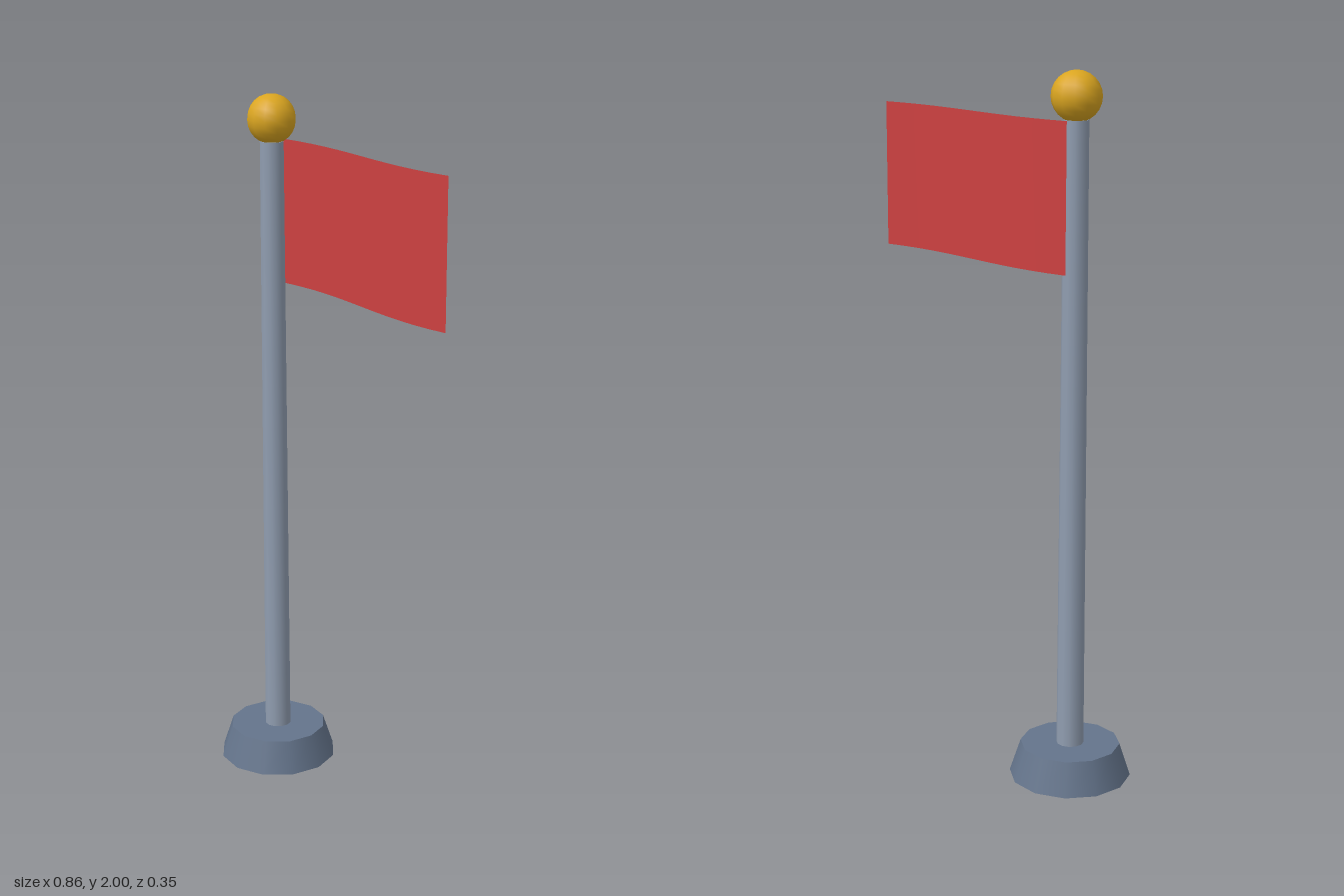
import * as THREE from 'three';

const AXIS_X = -0.257; // the mast stands left of centre
const FLAG = { right: 0.425, bottom: 1.46, top: 1.87, sway: 0.046 };

function material(name, color) {
  const m = new THREE.MeshStandardMaterial({ color });
  m.name = name;
  return m;
}

export function createModel() {
  const group = new THREE.Group();
  group.name = 'flagpole';

  const slate = material('slate base', 0x64748b);
  const steel = material('steel grey', 0x909db0);
  const gold = material('gold', 0xdaa520);
  const red = material('red cloth', 0xcc4040);
  red.side = THREE.DoubleSide;

  const add = (name, geometry, mat, x, y) => {
    const mesh = new THREE.Mesh(geometry, mat);
    mesh.name = name;
    mesh.position.set(x, y, 0);
    group.add(mesh);
  };

  // Tapered foot, slim mast and ball on top
  add('base', new THREE.CylinderGeometry(0.142, 0.173, 0.095, 12), slate, AXIS_X, 0.0475);
  add('pole', new THREE.CylinderGeometry(0.034, 0.039, 1.86, 12), steel, AXIS_X, 0.94);
  add('finial', new THREE.SphereGeometry(0.069, 12, 12), gold, AXIS_X, 1.931);

  // Cloth: one sheet bent into a gentle S along its length
  const width = FLAG.right - AXIS_X;
  const cloth = new THREE.PlaneGeometry(width, FLAG.top - FLAG.bottom, 12, 1);
  const p = cloth.attributes.position;
  for (let i = 0; i < p.count; i++) {
    p.setZ(i, FLAG.sway * Math.sin((p.getX(i) / (width / 2)) * 1.75));
  }
  cloth.computeVertexNormals();
  add('flag', cloth, red, (FLAG.right + AXIS_X) / 2, (FLAG.top + FLAG.bottom) / 2);

  return group;
}
